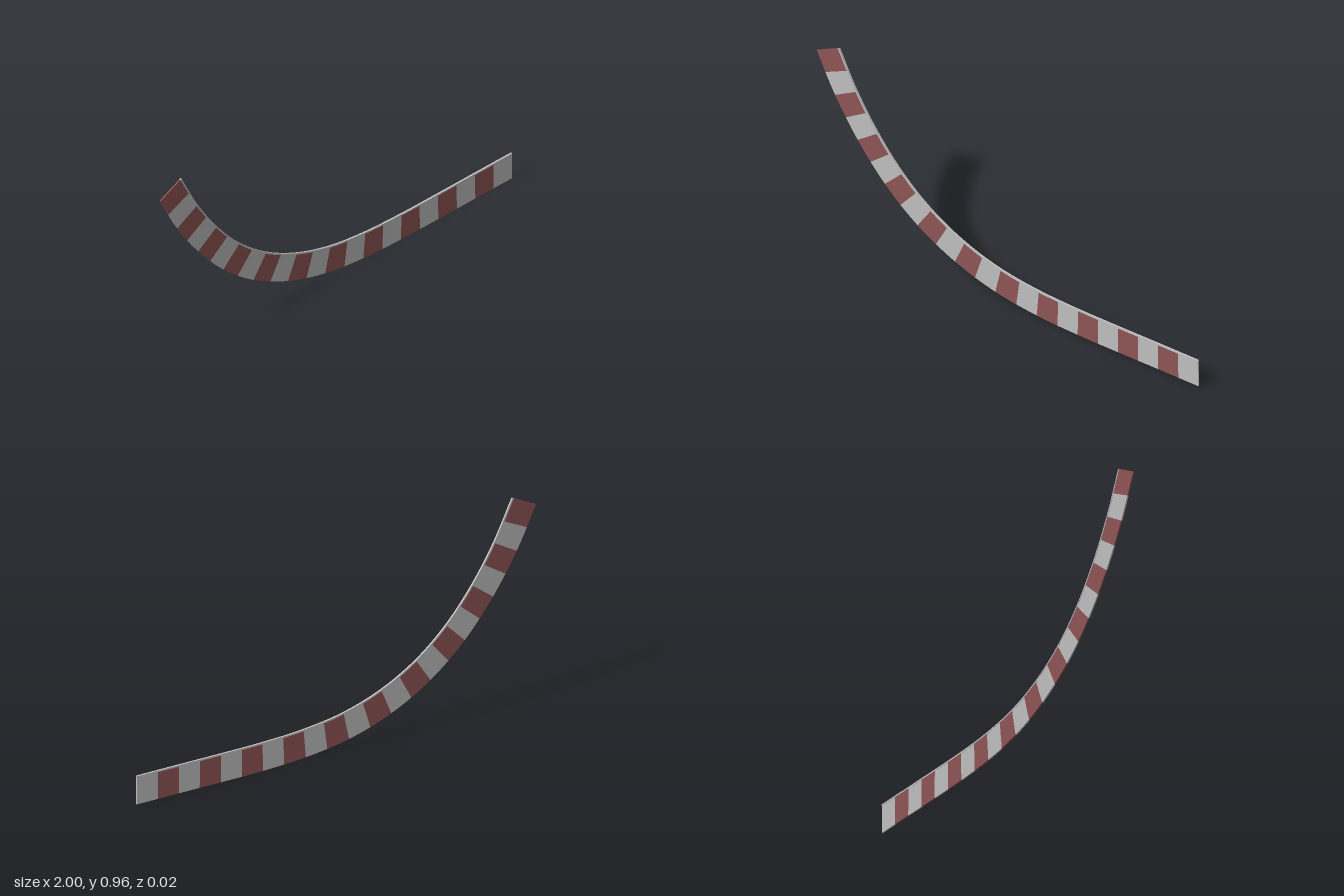
import * as THREE from 'three';

export function createModel() {
  const group = new THREE.Group();
  const mat = (name, color) => {
    const m = new THREE.MeshStandardMaterial({ color });
    m.name = name;
    return m;
  };
  const red = mat('dull red', 0x8f5454);
  const pale = mat('pale grey', 0xbfbfbf);

  // Centre line of the band, from the raised right end to the level left end
  const line = new THREE.CatmullRomCurve3([
    [-0.942, 0.926], [-0.847, 0.737], [-0.732, 0.56], [-0.595, 0.399],
    [-0.437, 0.268], [-0.253, 0.169], [-0.055, 0.106], [0.156, 0.076],
    [0.365, 0.067], [0.576, 0.067], [0.787, 0.069], [1, 0.0705],
  ].map(([x, y]) => new THREE.Vector3(x, y, 0.0045 * -x)));
  line.arcLengthDivisions = 800;

  // Sweep a rectangle, lo..hi across the band and t thick, along u0..u1
  function sweep(u0, u1, lo, hi, t, steps) {
    const pos = [];
    const quad = (a, b, c, d) => {
      for (const p of [a, b, c, a, c, d]) pos.push(p.x, p.y, p.z);
    };
    const section = (u) => {
      const p = line.getPointAt(u);
      const d = line.getTangentAt(u);
      const n = new THREE.Vector3(-d.y, d.x, 0).normalize();
      const at = (w, z) => p.clone().addScaledVector(n, w).add(new THREE.Vector3(0, 0, z));
      return [at(lo, t / 2), at(hi, t / 2), at(hi, -t / 2), at(lo, -t / 2)];
    };
    let a = section(u0);
    quad(a[0], a[1], a[2], a[3]);
    for (let i = 1; i <= steps; i++) {
      const b = section(u0 + ((u1 - u0) * i) / steps);
      for (let k = 0; k < 4; k++) {
        const m = (k + 1) % 4;
        quad(a[k], b[k], b[m], a[m]);
      }
      a = b;
    }
    quad(a[3], a[2], a[1], a[0]);
    const geo = new THREE.BufferGeometry();
    geo.setAttribute('position', new THREE.Float32BufferAttribute(pos, 3));
    geo.computeVertexNormals();
    return geo;
  }

  const add = (name, geo, material) => {
    const mesh = new THREE.Mesh(geo, material);
    mesh.name = name;
    group.add(mesh);
  };

  // Alternating stripes of equal length
  const count = 22;
  for (let i = 0; i < count; i++) {
    const isRed = i % 2 === 0;
    add(isRed ? 'redStripe' : 'paleStripe',
      sweep(i / count, (i + 1) / count, -0.066, 0.059, 0.006, 4), isRed ? red : pale);
  }

  // Narrow rounded-over lip along the upper edge
  add('topLip', sweep(0, 1, 0.059, 0.066, 0.009, 88), pale);

  return group;
}
